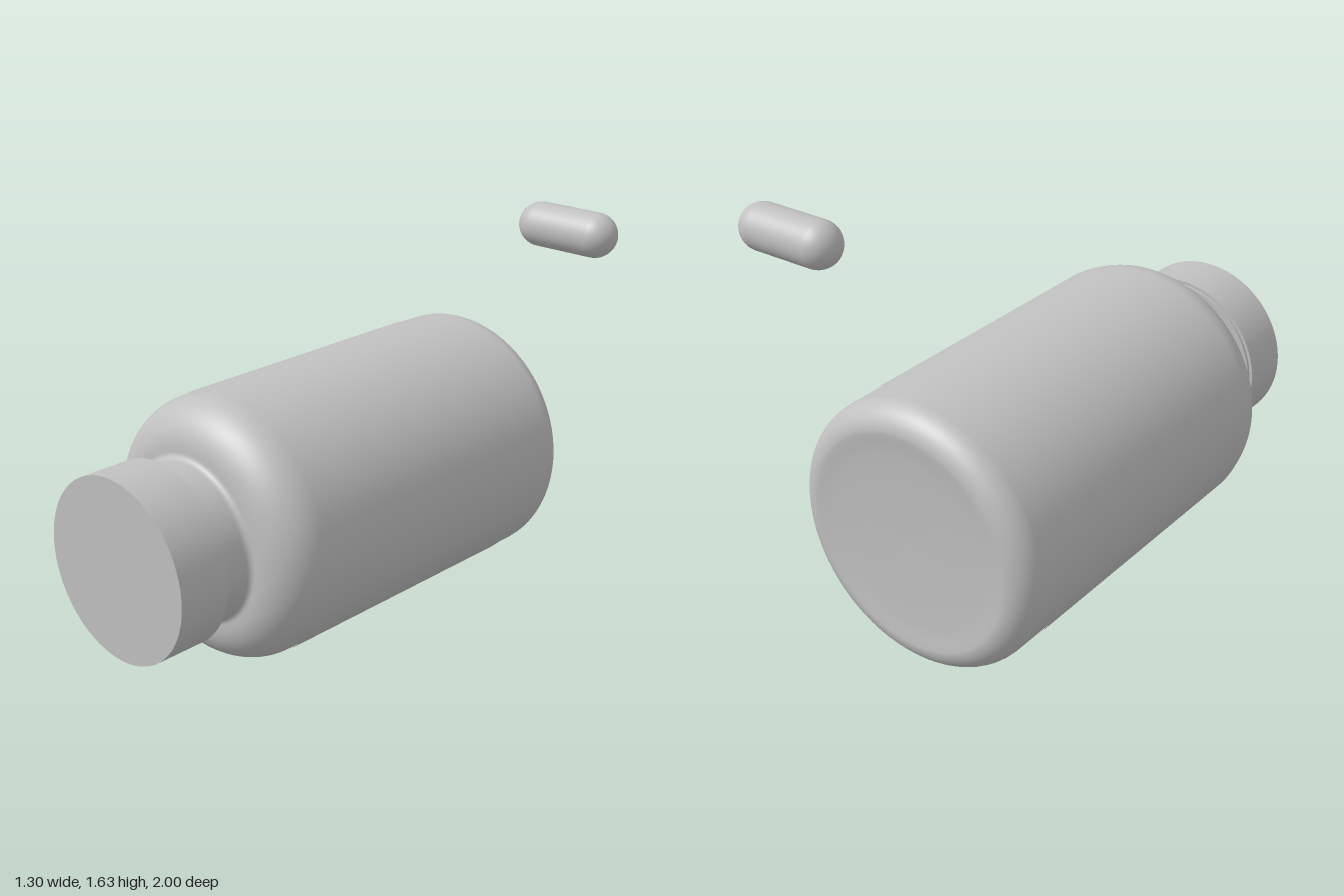
import * as THREE from 'three';

const AXIS_X = -0.12, AXIS_Y = 0.533, SEGMENTS = 72;

// Points on a circular arc in the (radius, axial) plane
function arc(cr, cz, r, from, to, n) {
  const pts = [];
  for (let i = 0; i <= n; i++) {
    const a = from + (to - from) * i / n;
    pts.push(new THREE.Vector2(cr + r * Math.cos(a), cz + r * Math.sin(a)));
  }
  return pts;
}

export function createModel() {
  const model = new THREE.Group();
  const grey = new THREE.MeshStandardMaterial({ color: 0xc0c0c0 });
  grey.name = 'plain grey';
  const add = (parent, name, geometry) => {
    const mesh = new THREE.Mesh(geometry, grey);
    mesh.name = name;
    parent.add(mesh);
    return mesh;
  };

  // Bottle lying on its side, neck towards the front
  const bottle = new THREE.Group();
  bottle.name = 'bottle';
  bottle.position.set(AXIS_X, AXIS_Y, 0);
  model.add(bottle);

  // Body: shallow hollow base, rounded heel, straight wall, shoulder, neck
  const H = Math.PI / 2;
  const profile = [
    new THREE.Vector2(0, -0.98),
    new THREE.Vector2(0.2, -0.983),
    new THREE.Vector2(0.34, -0.988),
    new THREE.Vector2(0.4, -0.995),
    ...arc(0.429, -0.9, 0.1, -H, 0, 10),
    new THREE.Vector2(0.529, -0.78),
    new THREE.Vector2(0.529, 0.44),
    ...arc(0.349, 0.45, 0.18, 0, H, 14),
    ...arc(0.345, 0.656, 0.026, -H, -2 * H, 6),
    new THREE.Vector2(0.319, 0.7),
    new THREE.Vector2(0.319, 0.79),
  ];
  add(bottle, 'body', new THREE.LatheGeometry(profile, SEGMENTS).rotateX(H));

  // Ring-shaped parts running along the bottle's axis
  const drum = (name, radius, back, front, open) => add(bottle, name,
    new THREE.CylinderGeometry(radius, radius, front - back, SEGMENTS, 1, open)
      .rotateX(H).translate(0, 0, (back + front) / 2));
  drum('label', 0.533, -0.78, 0.45, true);
  drum('capCollar', 0.352, 0.768, 0.79, false);
  drum('cap', 0.365, 0.78, 1, false);

  // Capsule floating above the back of the bottle
  const pill = add(model, 'pill', new THREE.CapsuleGeometry(0.089, 0.26, 12, 40).rotateZ(H));
  pill.position.set(0.43, 1.545, -0.91);

  return model;
}
